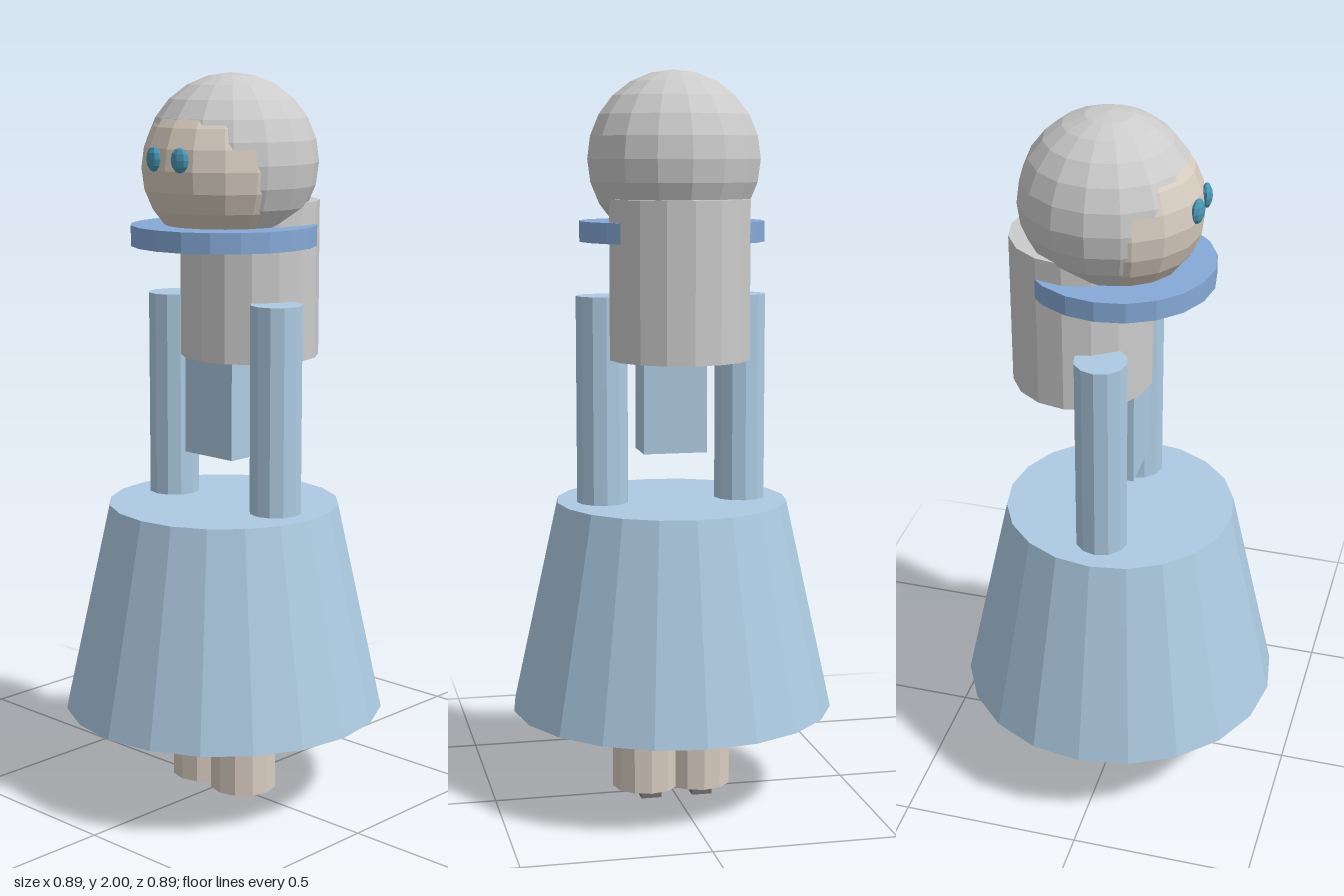
import * as THREE from 'three';

export function createModel() {
  const model = new THREE.Group();
  const mat = (color) => new THREE.MeshStandardMaterial({ color, flatShading: true });
  const grey = mat(0xcccccc);
  const skin = mat(0xd8ccc0);
  const dressBlue = mat(0xaecbe2);
  const collarBlue = mat(0x86a9d6);
  const eyeBlue = mat(0x4a96b4);
  const shoeGrey = mat(0x707074);

  function add(name, geometry, material, x, y, z) {
    const mesh = new THREE.Mesh(geometry, material);
    mesh.name = name;
    mesh.position.set(x, y, z);
    model.add(mesh);
    return mesh;
  }

  // Upright cylinder or cone given by its bottom and top heights
  function column(name, rTop, rBottom, y0, y1, sides, material, x = 0, z = 0) {
    const geometry = new THREE.CylinderGeometry(rTop, rBottom, y1 - y0, sides);
    return add(name, geometry, material, x, (y0 + y1) / 2, z);
  }

  // Head: face ball pushed forward out of a larger hair ball
  add('hair', new THREE.SphereGeometry(0.235, 16, 12), grey, 0, 1.765, -0.03);
  add('face', new THREE.SphereGeometry(0.22, 16, 12), skin, 0, 1.75, 0);
  column('hairBack', 0.19, 0.19, 1.235, 1.66, 16, grey, 0, -0.103);

  // Clothing and trunk
  column('collar', 0.252, 0.252, 1.545, 1.6, 20, collarBlue);
  add('torso', new THREE.BoxGeometry(0.176, 0.53, 0.115), dressBlue, 0, 1.235, 0.003);
  column('skirt', 0.318, 0.445, 0.255, 0.835, 20, dressBlue);

  // Mirrored pairs
  for (const [side, s] of [['left', 1], ['right', -1]]) {
    const eye = add(side + 'Eye', new THREE.SphereGeometry(1, 8, 6), eyeBlue, s * 0.048, 1.78, 0.213);
    eye.scale.set(0.028, 0.033, 0.015);
    eye.rotation.y = s * 0.2;
    column(side + 'Arm', 0.071, 0.071, 0.8, 1.4, 12, dressBlue, s * 0.193);
    column(side + 'Leg', 0.093, 0.093, 0.02, 0.5, 12, skin, s * 0.075);
    add(side + 'Foot', new THREE.BoxGeometry(0.056, 0.04, 0.09), shoeGrey, s * 0.072, 0.02, -0.025);
  }
  return model;
}
